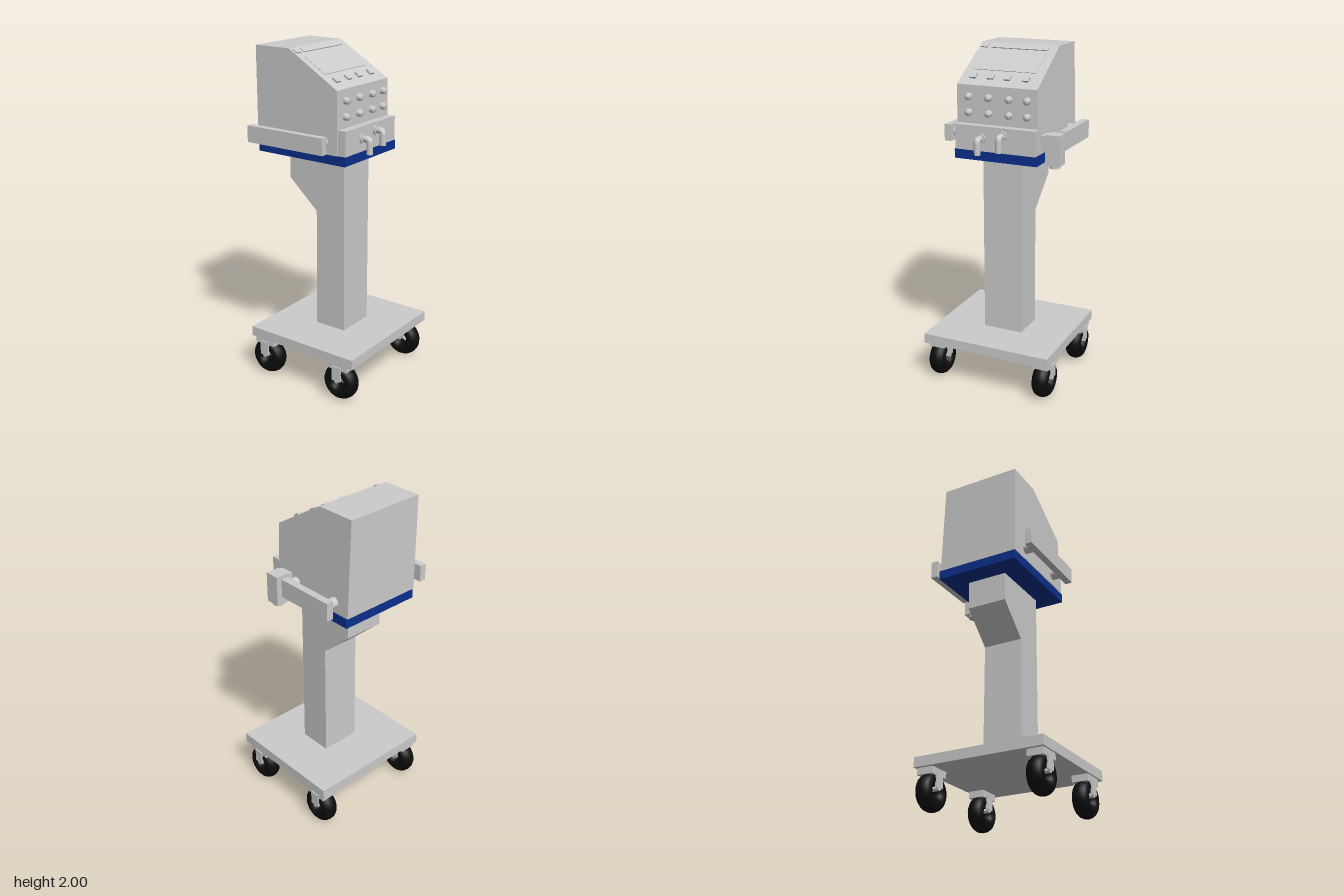
import * as THREE from 'three';

const grey = new THREE.MeshStandardMaterial({ color: 0xcccccc });
const blue = new THREE.MeshStandardMaterial({ color: 0x0a2f8c });
const black = new THREE.MeshStandardMaterial({ color: 0x0c0c0c });

function add(parent, name, geometry, material = grey) {
  const mesh = new THREE.Mesh(geometry, material);
  mesh.name = name;
  parent.add(mesh);
  return mesh;
}

// Box given by its minimum and maximum on each axis
function box(parent, name, [x0, x1], [y0, y1], [z0, z1], material) {
  const g = new THREE.BoxGeometry(x1 - x0, y1 - y0, z1 - z0);
  g.translate((x0 + x1) / 2, (y0 + y1) / 2, (z0 + z1) / 2);
  return add(parent, name, g, material);
}

// Side profile of [z, y] points, extruded from x0 to x1
function profile(points, x0, x1) {
  const shape = new THREE.Shape(points.map(([z, y]) => new THREE.Vector2(z, y)));
  const g = new THREE.ExtrudeGeometry(shape, { depth: x1 - x0, bevelEnabled: false });
  return g.rotateY(-Math.PI / 2).translate(x1, 0, 0);
}

// Cylinder along x between x0 and x1
function rodX(parent, name, x0, x1, y, z, r) {
  const g = new THREE.CylinderGeometry(r, r, x1 - x0, 24).rotateZ(Math.PI / 2);
  return add(parent, name, g.translate((x0 + x1) / 2, y, z));
}

function createCaster() {
  const caster = new THREE.Group();
  caster.name = 'caster';
  const tyre = new THREE.TorusGeometry(0.07, 0.04, 16, 36).scale(1, 1, 1.25);
  add(caster, 'tyre', tyre.rotateY(Math.PI / 2).translate(0, 0.11, 0), black);
  box(caster, 'mountPlate', [-0.05, 0.05], [0.2, 0.24], [-0.07, 0.07]);
  for (const s of [-1, 1]) {
    const x = s * 0.051;
    box(caster, 'forkArm', [x - 0.006, x + 0.006], [0.13, 0.22], [-0.03, 0.03]);
  }
  rodX(caster, 'axle', -0.055, 0.055, 0.128, 0, 0.014);
  return caster;
}

function createConsole() {
  const consoleGroup = new THREE.Group();
  consoleGroup.name = 'console';

  // Housing with a sloped face; its left wall leans inwards
  const g = profile([[0.18, 1.435], [0.18, 1.8], [-0.15, 2], [-0.39, 2], [-0.39, 1.435]], -0.26, 0.25);
  const p = g.attributes.position;
  for (let i = 0; i < p.count; i++) {
    if (p.getX(i) > 0) p.setX(i, 0.25 - (p.getY(i) - 1.435) * 0.035);
  }
  g.computeVertexNormals();
  add(consoleGroup, 'housing', g);
  box(consoleGroup, 'lowerPanel', [-0.25, 0.248], [1.435, 1.58], [0.17, 0.23]);
  box(consoleGroup, 'tray', [-0.255, 0.257], [1.38, 1.435], [-0.39, 0.23], blue);

  // Parts on the sloped face, placed by x and z
  const angle = Math.atan2(0.2, 0.33);
  const onSlope = (name, x, z, w, h, d, tilt = 0) => {
    const mesh = add(consoleGroup, name, new THREE.BoxGeometry(w, h, d));
    mesh.position.set(x, 1.8 + (0.18 - z) * 0.2 / 0.33, z);
    mesh.rotation.x = angle + tilt;
  };
  onSlope('screen', -0.0175, -0.0075, 0.395, 0.006, 0.17);
  onSlope('indicatorStrip', 0, -0.12, 0.36, 0.01, 0.035);
  onSlope('smallKey', -0.225, -0.12, 0.04, 0.014, 0.035);
  for (const x of [-0.183, -0.073, 0.03, 0.143]) onSlope('button', x, 0.117, 0.038, 0.026, 0.036, 0.12);

  // Two rows of domed knobs
  const knob = new THREE.LatheGeometry(
    [[0.02, 0], [0.02, 0.02], [0.014, 0.028], [0, 0.031]].map(([r, y]) => new THREE.Vector2(r, y)), 20);
  knob.rotateX(Math.PI / 2);
  for (const y of [1.645, 1.735]) {
    for (const x of [-0.183, -0.058, 0.068, 0.18]) add(consoleGroup, 'knob', knob).position.set(x, y, 0.18);
  }

  // Bent outlets with round flanges and rounded tips
  for (const [x, y] of [[-0.085, 1.51], [0.048, 1.535]]) {
    const outlet = new THREE.Group();
    outlet.name = 'outlet';
    const path = new THREE.CurvePath();
    const v = (py, pz) => new THREE.Vector3(0, py, pz);
    path.add(new THREE.LineCurve3(v(0, 0), v(0, 0.03)));
    path.add(new THREE.QuadraticBezierCurve3(v(0, 0.03), v(0, 0.05), v(-0.02, 0.05)));
    path.add(new THREE.LineCurve3(v(-0.02, 0.05), v(-0.085, 0.05)));
    add(outlet, 'pipe', new THREE.TubeGeometry(path, 28, 0.019, 16));
    add(outlet, 'pipeEnd', new THREE.CircleGeometry(0.019, 16).rotateX(Math.PI / 2).translate(0, -0.085, 0.05));
    add(outlet, 'flange', new THREE.CylinderGeometry(0.03, 0.03, 0.012, 24).rotateX(Math.PI / 2).translate(0, 0, 0.005));
    outlet.position.set(x, y, 0.23);
    consoleGroup.add(outlet);
  }
  box(consoleGroup, 'socketPlate', [0.155, 0.212], [1.455, 1.538], [0.225, 0.234]);
  return consoleGroup;
}

export function createModel() {
  const model = new THREE.Group();
  model.name = 'medicalCart';

  // Wheeled base
  box(model, 'basePlate', [-0.405, 0.402], [0.24, 0.3], [-0.36, 0.39]);
  for (const x of [-0.345, 0.34]) {
    for (const z of [-0.27, 0.275]) {
      const caster = createCaster();
      caster.position.set(x, 0, z);
      model.add(caster);
    }
  }

  // Column widening backwards under the tray
  add(model, 'column', profile(
    [[0.13, 0.3], [0.13, 1.38], [-0.265, 1.38], [-0.265, 1.205], [-0.07, 1.03], [-0.075, 0.3]], -0.122, 0.125));

  model.add(createConsole());

  // Side rails on round posts
  box(model, 'rightRail', [-0.362, -0.32], [1.455, 1.553], [-0.383, 0.153]);
  for (const z of [-0.262, 0.09]) rodX(model, 'rightRailPost', -0.325, -0.25, 1.505, z, 0.031);
  box(model, 'leftRail', [0.31, 0.353], [1.44, 1.548], [-0.34, 0.03]);
  for (const z of [-0.283, 0.028]) rodX(model, 'leftRailPost', 0.24, 0.315, 1.495, z, 0.032);

  // Hanging holder beside the left rail
  box(model, 'holderArm', [0.24, 0.28], [1.45, 1.54], [0.062, 0.15]);
  box(model, 'holderBlock', [0.275, 0.36], [1.37, 1.548], [0.062, 0.15]);
  add(model, 'holderFoot', new THREE.CylinderGeometry(0.032, 0.032, 0.02, 24).translate(0.318, 1.363, 0.106));

  return model;
}
